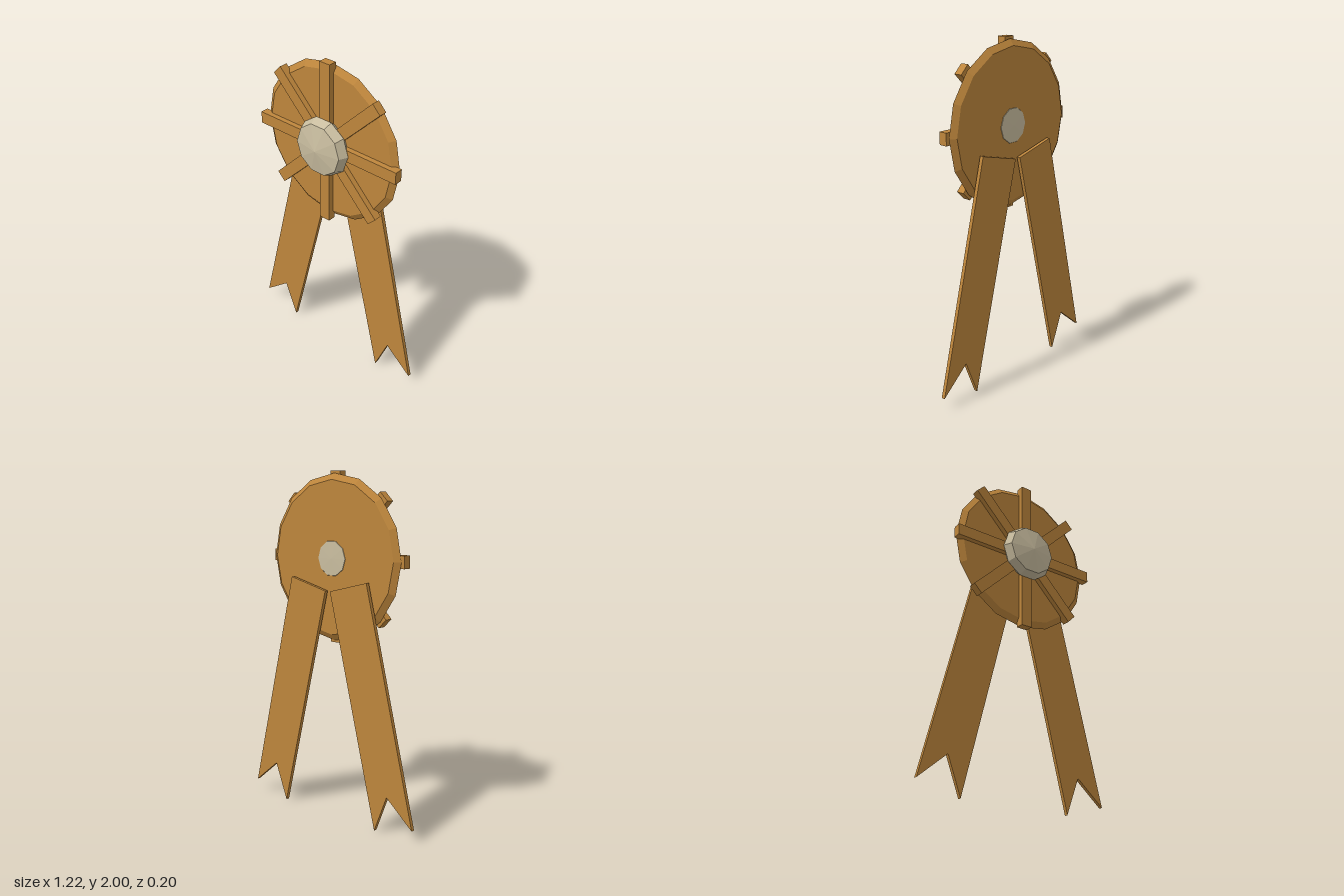
import * as THREE from 'three';

const CENTER_Y = 1.517;

export function createModel() {
  const model = new THREE.Group();
  const ribbonBrown = new THREE.MeshStandardMaterial({ color: 0xbe863c, flatShading: true });
  ribbonBrown.name = 'ribbon brown';
  const paleStone = new THREE.MeshStandardMaterial({ color: 0xcabea0, flatShading: true });
  paleStone.name = 'pale stone';

  const add = (name, geometry, material) => {
    const mesh = new THREE.Mesh(geometry, material);
    mesh.name = name;
    model.add(mesh);
    return mesh;
  };

  // Faceted solid turned about the z axis from [radius, z] pairs, back to front
  const turned = (profile, sides) =>
    new THREE.LatheGeometry(profile.map(([r, z]) => new THREE.Vector2(r, z)), sides, Math.PI / 2)
      .rotateX(Math.PI / 2)
      .translate(0, CENTER_Y, 0);

  // Rosette disc with bevelled rim
  add('rosetteDisc', turned([[0, -0.064], [0.435, -0.064], [0.47, -0.04], [0.435, -0.016], [0, -0.016]], 16), ribbonBrown);

  // Faceted centre button, its base showing through the back of the disc
  add('centreButton', turned([[0, -0.069], [0.1, -0.066], [0.172, 0.02], [0.15, 0.071], [0, 0.096]], 10), paleStone);

  // Four bars crossing the disc as eight pleats
  for (let i = 0; i < 4; i++) {
    const bar = add('pleatBar', new THREE.BoxGeometry(0.966, 0.07, 0.049), ribbonBrown);
    bar.position.set(0, CENTER_Y, -0.009);
    bar.rotation.z = (i * Math.PI) / 4;
  }

  // Two slanted tails with swallow-tail ends
  for (const side of [-1, 1]) {
    const outline = [[0.61, 0.072], [0.435, 0.22], [0.35, 0], [0.018, 1.335], [0.28, 1.4]]
      .map(([x, y]) => new THREE.Vector2(side * x, y));
    const tail = add(
      side > 0 ? 'leftTail' : 'rightTail',
      new THREE.ExtrudeGeometry(new THREE.Shape(outline), { depth: 0.022, bevelEnabled: false }),
      ribbonBrown
    );
    tail.position.z = -0.1;
  }

  return model;
}
